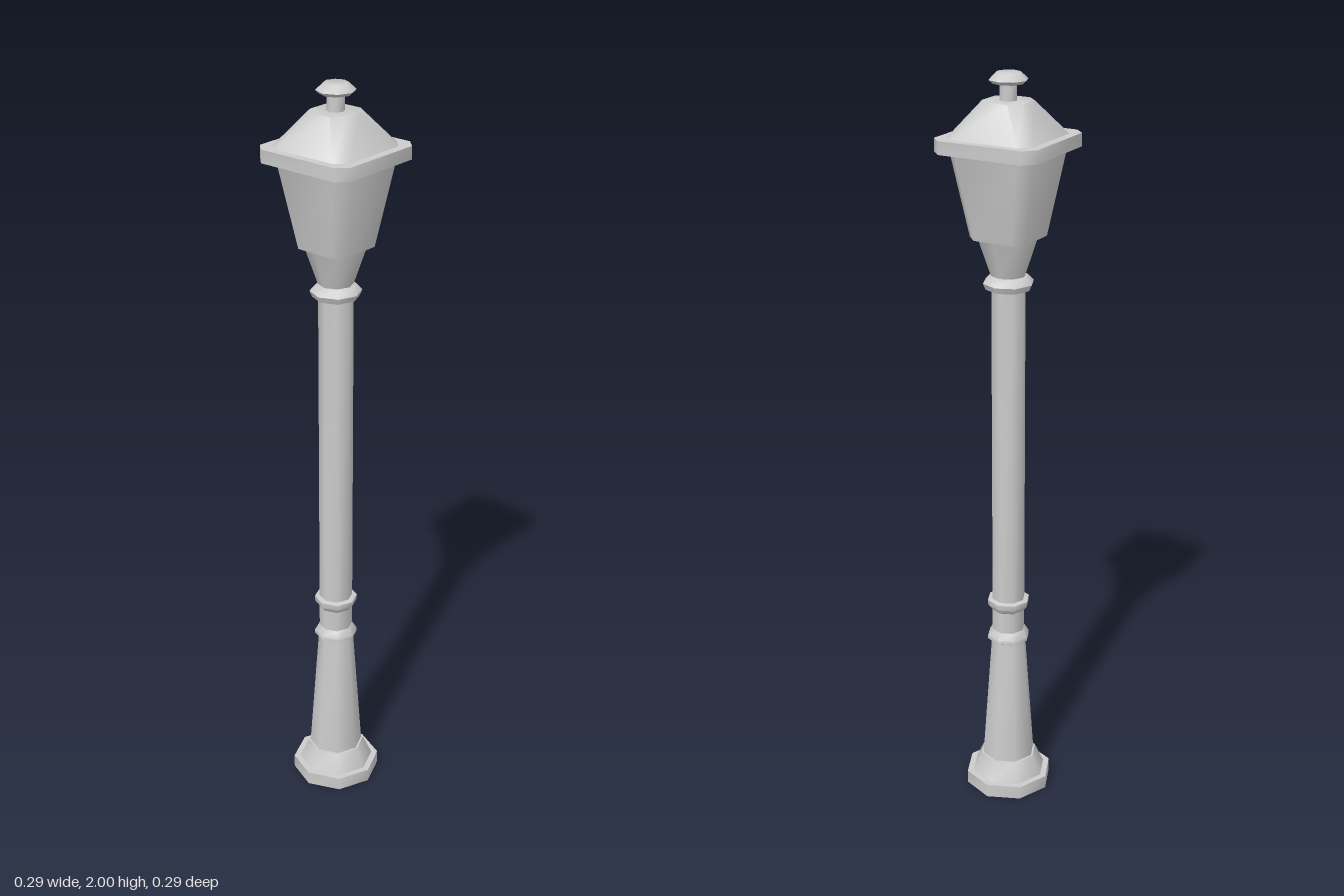
import * as THREE from 'three';
import { toCreasedNormals } from 'three/addons/utils/BufferGeometryUtils.js';

const material = new THREE.MeshStandardMaterial({ color: 0xcccccc });
const CHAMFER = 0.028;

// Regular octagon with corners on the axes
function octagon(r) {
  return Array.from({ length: 8 }, (_, i) => [r * Math.sin(i * Math.PI / 4), r * Math.cos(i * Math.PI / 4)]);
}

// Square with cut corners
function cutSquare(h) {
  const s = h - CHAMFER;
  return [[s, h], [h, s], [h, -s], [s, -h], [-s, -h], [-h, -s], [-h, s], [-s, h]];
}

// Closed solid through stacked outlines; profile is a list of [half width, height]
function loft(name, outline, profile) {
  const positions = [], index = [], n = 8;
  for (const [size, y] of profile) {
    for (const [x, z] of outline(size)) positions.push(x, y, z);
  }
  const top = (profile.length - 1) * n;
  for (let row = 0; row < top; row += n) {
    for (let i = 0; i < n; i++) {
      const a = row + i, b = row + (i + 1) % n;
      index.push(a, b, b + n, a, b + n, a + n);
    }
  }
  for (let i = 1; i < n - 1; i++) {
    index.push(0, i + 1, i, top, top + i, top + i + 1);
  }
  const geometry = new THREE.BufferGeometry();
  geometry.setAttribute('position', new THREE.Float32BufferAttribute(positions, 3));
  geometry.setIndex(index);
  const mesh = new THREE.Mesh(toCreasedNormals(geometry, 0.87), material);
  mesh.name = name;
  return mesh;
}

export function createModel() {
  const model = new THREE.Group();
  model.name = 'streetLamp';

  // Base and post
  model.add(
    loft('plinth', octagon, [[0.12, 0], [0.12, 0.037]]),
    loft('baseShoulder', octagon, [[0.103, 0.037], [0.078, 0.092]]),
    loft('taperedShaft', octagon, [[0.073, 0.09], [0.047, 0.46]]),
    loft('lowerRing', octagon, [[0.051, 0.452], [0.058, 0.456], [0.058, 0.466], [0.046, 0.485]]),
    loft('post', octagon, [[0.045, 0.46], [0.045, 1.47]]),
    loft('upperRing', octagon, [[0.045, 0.545], [0.057, 0.56], [0.058, 0.575], [0.051, 0.578]]),
    loft('collar', octagon, [[0.06, 1.457], [0.067, 1.473], [0.049, 1.492]])
  );

  // Lantern
  const lantern = new THREE.Group();
  lantern.name = 'lantern';
  lantern.add(
    loft('neck', octagon, [[0.045, 1.49], [0.08, 1.592]]),
    loft('glass', cutSquare, [[0.081, 1.592], [0.117, 1.815]]),
    loft('brim', cutSquare, [[0.143, 1.812], [0.143, 1.846]]),
    loft('roof', cutSquare, [[0.12, 1.846], [0.057, 1.932]]),
    loft('finialStem', octagon, [[0.022, 1.93], [0.022, 1.975]]),
    loft('finialCap', octagon, [[0.04, 1.973], [0.05, 1.982], [0.031, 2]])
  );
  model.add(lantern);
  return model;
}
